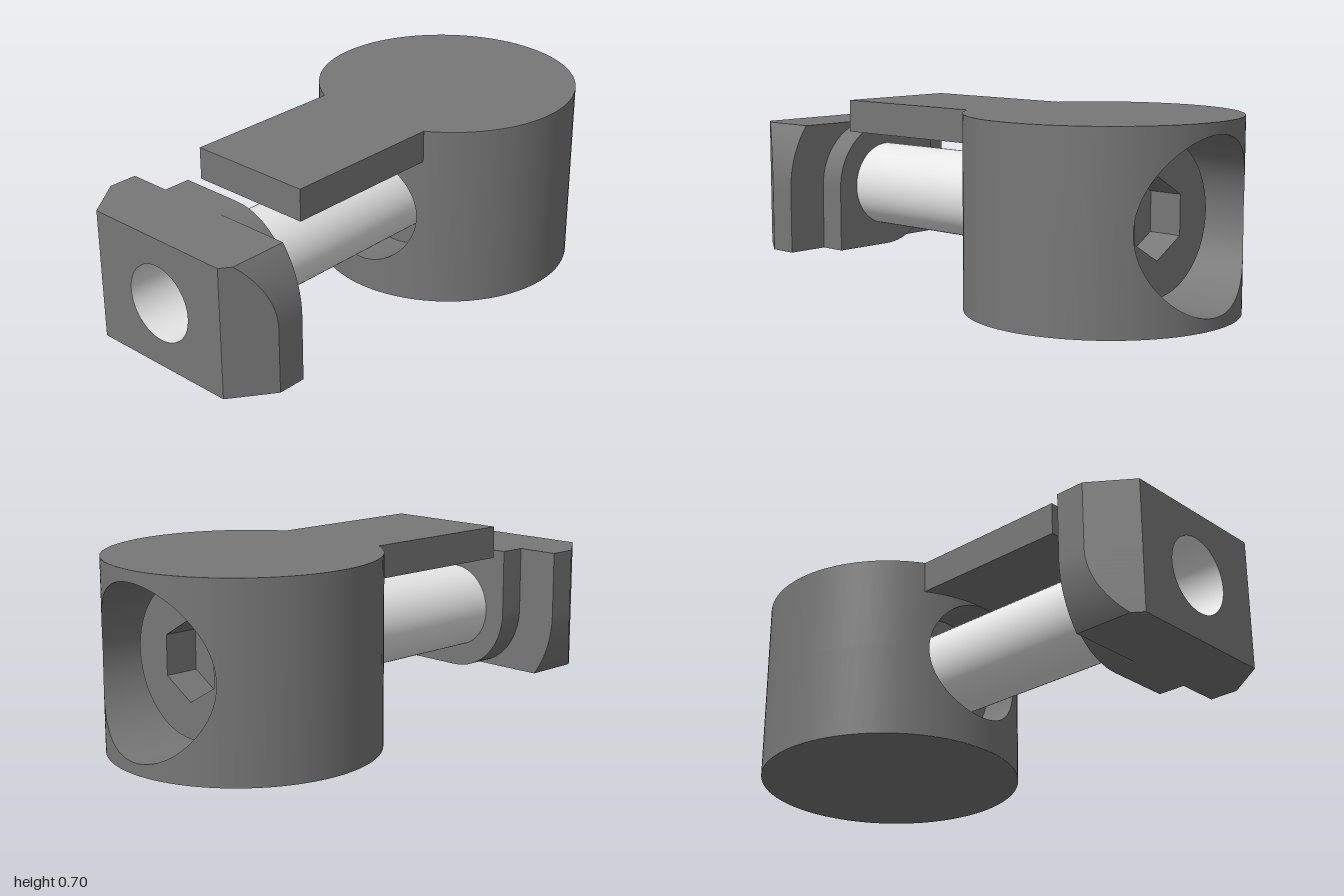
import * as THREE from 'three';
import { toCreasedNormals } from 'three/addons/utils/BufferGeometryUtils.js';

const AXIS_Y = 0.3525;              // height of the screw axis
const BODY = { r: 0.497, z: -0.503, h: 0.705 };
const FRONT_BORE = 0.228, BACK_BORE = 0.31;

// Quads between two point rows, merged into one geometry with sharp edges kept
function strips(...pairs) {
  const pos = [];
  for (const [a, b] of pairs) {
    for (let i = 0; i < a.length - 1; i++) {
      for (const p of [a[i], a[i + 1], b[i + 1], a[i], b[i + 1], b[i]]) pos.push(...p);
    }
  }
  const g = new THREE.BufferGeometry();
  g.setAttribute('position', new THREE.Float32BufferAttribute(pos, 3));
  return toCreasedNormals(g, 0.5);
}

// Cylinder along z between two depths
function zCylinder(rBack, rFront, z0, z1, open = false) {
  return new THREE.CylinderGeometry(rFront, rBack, z1 - z0, 64, 1, open)
    .rotateX(Math.PI / 2).translate(0, AXIS_Y, (z0 + z1) / 2);
}

// Circle on the screw axis, facing front or back
function zDisc(r, z, back = false) {
  const g = new THREE.CircleGeometry(r, 64);
  if (back) g.rotateY(Math.PI);
  return g.translate(0, AXIS_Y, z);
}

const circleHole = (r) => new THREE.Path().absarc(0, AXIS_Y, r, 0, Math.PI * 2, true);

// Columns around the body wall: position and half height of the bore opening
function bodyColumns() {
  const half = [];
  const n = 24, q = Math.PI / 2;
  const depth = (x) => Math.sqrt(BODY.r ** 2 - x * x);
  for (let i = 0; i <= n; i++) {
    const t = q * i / n, x = FRONT_BORE * Math.sin(t);
    half.push([x, depth(x), FRONT_BORE * Math.cos(t)]);
  }
  const a0 = Math.asin(FRONT_BORE / BODY.r), a1 = Math.PI - Math.asin(BACK_BORE / BODY.r);
  for (let i = 1; i < n; i++) {
    const a = a0 + (a1 - a0) * i / n;
    half.push([BODY.r * Math.sin(a), BODY.r * Math.cos(a), 0]);
  }
  for (let i = n; i >= 0; i--) {
    const t = q * i / n, x = BACK_BORE * Math.sin(t);
    half.push([x, -depth(x), BACK_BORE * Math.cos(t)]);
  }
  const mirrored = half.slice(0, -1).reverse().map(([x, z, h]) => [-x, z, h]);
  return [...half, ...mirrored];
}

function bodyWall() {
  const cols = bodyColumns();
  const row = (f) => cols.map(([x, z, h]) => [x, f(h), BODY.z + z]);
  return strips(
    [row(() => 0), row((h) => AXIS_Y - h)],
    [row((h) => AXIS_Y + h), row(() => BODY.h)]
  );
}

// Bore wall from the curved rim on the body to a flat floor
function boreWall(r, side, floorZ) {
  const rim = [], floor = [];
  for (let i = 0; i <= 96; i++) {
    const t = Math.PI * 2 * i / 96, x = r * Math.sin(t), y = AXIS_Y + r * Math.cos(t);
    rim.push([x, y, BODY.z + side * Math.sqrt(BODY.r ** 2 - x * x)]);
    floor.push([x, y, floorZ]);
  }
  return side > 0 ? strips([floor, rim]) : strips([rim, floor]);
}

// Block outline with two opposite corners rounded about the screw axis
function turnOutline(w, halfH) {
  const half = [[w, -halfH]];
  const end = Math.asin(Math.min(1, halfH / w));
  for (let i = 0; i <= 16; i++) {
    const a = end * i / 16;
    half.push([w * Math.cos(a), w * Math.sin(a)]);
  }
  return [...half, ...half.map(([x, y]) => [-x, -y])].map(([x, y]) => [x, y + AXIS_Y]);
}

const toShape = (pts) => new THREE.Shape(pts.map(([x, y]) => new THREE.Vector2(x, y)));

export function createModel() {
  const dark = new THREE.MeshStandardMaterial({ color: 0x777777 });
  dark.name = 'dark steel';
  const light = new THREE.MeshStandardMaterial({ color: 0xe6e6e6 });
  light.name = 'bright steel';
  const lightInside = light.clone();
  lightInside.side = THREE.BackSide;

  const model = new THREE.Group();
  model.name = 'connector';
  const group = (name) => {
    const g = new THREE.Group();
    g.name = name;
    model.add(g);
    return g;
  };
  const add = (parent, name, geometry, material = dark) => {
    const m = new THREE.Mesh(geometry, material);
    m.name = name;
    parent.add(m);
  };

  // Round body with a narrow bore in front and a wide one behind
  const body = group('body');
  add(body, 'bodyWall', bodyWall());
  add(body, 'bodyTop', new THREE.CircleGeometry(BODY.r, 96).rotateX(-Math.PI / 2).translate(0, BODY.h, BODY.z));
  add(body, 'bodyBottom', new THREE.CircleGeometry(BODY.r, 96).rotateX(Math.PI / 2).translate(0, 0, BODY.z));
  add(body, 'frontBore', boreWall(FRONT_BORE, 1, -0.2));
  add(body, 'frontBoreFloor', zDisc(FRONT_BORE, -0.2));
  add(body, 'backBore', boreWall(BACK_BORE, -1, -0.62));
  add(body, 'backBoreFloor', zDisc(BACK_BORE, -0.62, true));

  // Flat arm over the screw, starting just inside the body
  const armBack = -0.075, armFront = 0.568;
  add(model, 'arm', new THREE.BoxGeometry(0.494, 0.122, armFront - armBack)
    .translate(0, BODY.h - 0.061, (armBack + armFront) / 2));

  // Screw: head with hexagonal socket, shank and chamfered tip
  const screw = group('screw');
  const headShape = new THREE.Shape().absarc(0, AXIS_Y, 0.28, 0, Math.PI * 2);
  const hex = [];
  for (let i = 0; i < 6; i++) {
    const a = Math.PI / 6 + i * Math.PI / 3;
    hex.push(new THREE.Vector2(0.147 * Math.cos(a), AXIS_Y + 0.147 * Math.sin(a)));
  }
  headShape.holes.push(new THREE.Path(hex));
  const head = new THREE.ExtrudeGeometry(headShape, { depth: 0.17, bevelEnabled: false, curveSegments: 48 });
  add(screw, 'screwHead', toCreasedNormals(head.translate(0, 0, -0.75), 0.5));
  add(screw, 'socketFloor', zDisc(0.17, -0.585, true));
  add(screw, 'shank', zCylinder(0.1625, 0.1625, -0.58, 0.7, true), light);
  add(screw, 'screwTip', zCylinder(0.143, 0.133, 0.715, 0.73));

  // Turning nut: chamfered plate with a narrower neck behind
  const nut = group('nut');
  const halfH = 0.2475, plateW = 0.412, faceW = 0.3, plateBack = 0.735;
  const outline = turnOutline(plateW, halfH);
  const loop = [...outline, outline[0]];
  const backRing = loop.map(([x, y]) => [x, y, plateBack]);
  const kinkRing = loop.map(([x, y]) => [x, y, 1 - 0.155 * (Math.abs(x) - faceW) / (plateW - faceW)]);
  const frontRing = loop.map(([x, y]) => [Math.sign(x) * faceW, y, 1]);
  add(nut, 'plateSides', strips([backRing, kinkRing], [kinkRing, frontRing]));

  const face = toShape([[-faceW, AXIS_Y - halfH], [faceW, AXIS_Y - halfH], [faceW, AXIS_Y + halfH], [-faceW, AXIS_Y + halfH]]);
  face.holes.push(circleHole(0.143));
  add(nut, 'plateFront', new THREE.ShapeGeometry(face, 48).translate(0, 0, 1));

  const mirroredX = outline.map(([x, y]) => [-x, y]);
  add(nut, 'plateBack', new THREE.ShapeGeometry(toShape(mirroredX)).rotateY(Math.PI).translate(0, 0, plateBack));
  add(nut, 'threadedHole', zCylinder(0.143, 0.143, 0.715, 1, true), lightInside);

  const neck = new THREE.ExtrudeGeometry(toShape(turnOutline(halfH, halfH)), { depth: 0.105, bevelEnabled: false });
  add(nut, 'neck', toCreasedNormals(neck.translate(0, 0, 0.63), 0.5));

  return model;
}
